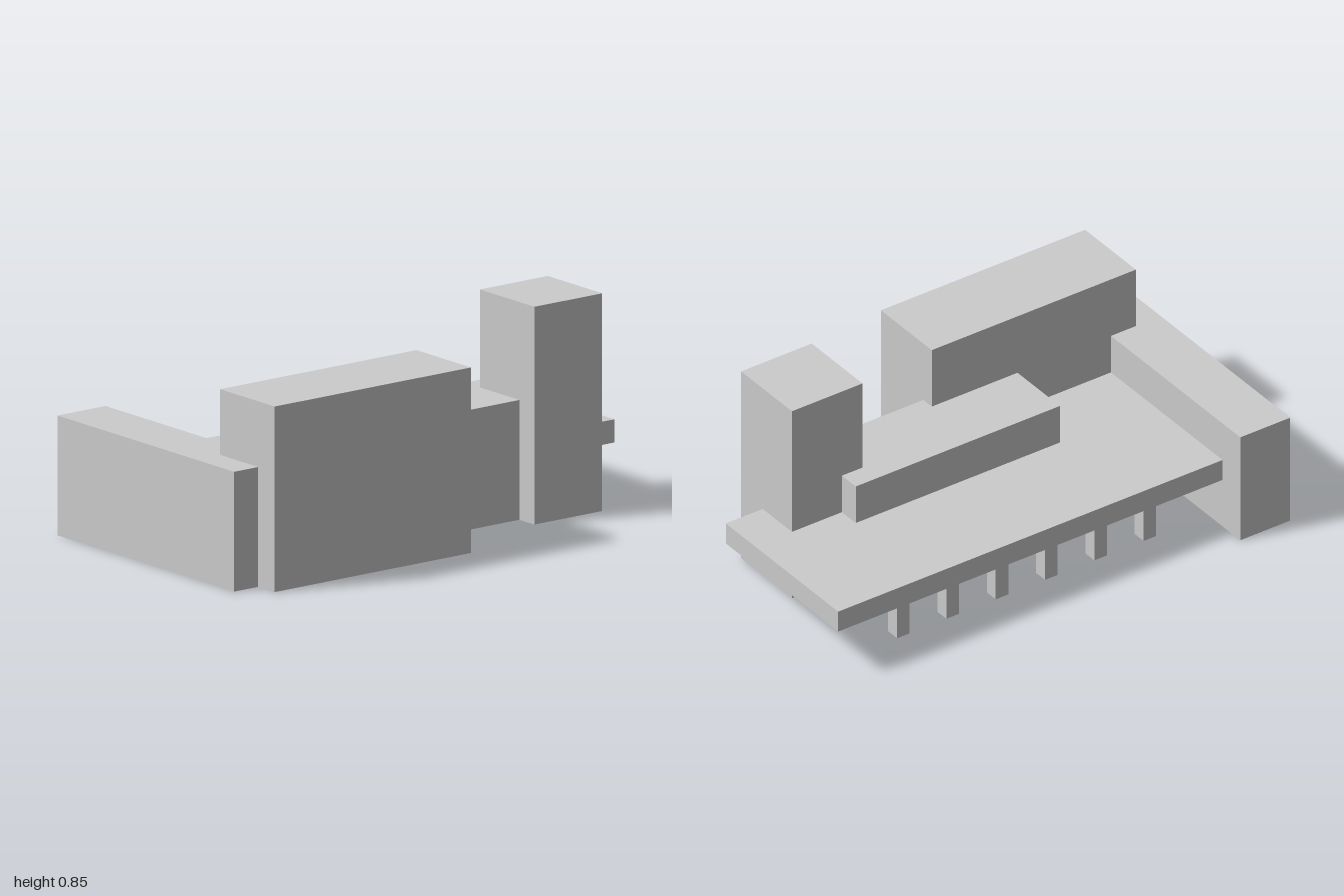
import * as THREE from 'three';

export function createModel() {
  const model = new THREE.Group();
  const material = new THREE.MeshStandardMaterial({ color: 0xcccccc, flatShading: true });

  // Box given by its [min, max] extent along each axis
  function block(name, [x0, x1], [y0, y1], [z0, z1], parent = model) {
    const mesh = new THREE.Mesh(new THREE.BoxGeometry(x1 - x0, y1 - y0, z1 - z0), material);
    mesh.position.set((x0 + x1) / 2, (y0 + y1) / 2, (z0 + z1) / 2);
    mesh.name = name;
    parent.add(mesh);
  }

  // Building volumes
  block('frontWing', [-0.585, 0.485], [0, 0.465], [0.77, 1]);
  block('sideHall', [0.255, 0.585], [0, 0.72], [-0.055, 0.885]);
  block('lowLink', [-0.02, 0.31], [0, 0.465], [-0.6, 0.34]);
  block('tower', [0.07, 0.4], [0, 0.845], [-0.83, -0.505]);

  // Raised deck
  block('deck', [-0.47, 0.26], [0.21, 0.3], [-1, 0.77]);

  // Row of square posts carrying the free edge of the deck
  const posts = new THREE.Group();
  posts.name = 'deckPosts';
  model.add(posts);
  const half = 0.029;
  for (let i = 0; i < 6; i++) {
    const x = -0.35, z = -0.635 + i * 0.227;
    block('post', [x - half, x + half], [0, 0.21], [z - half, z + half], posts);
  }

  return model;
}
